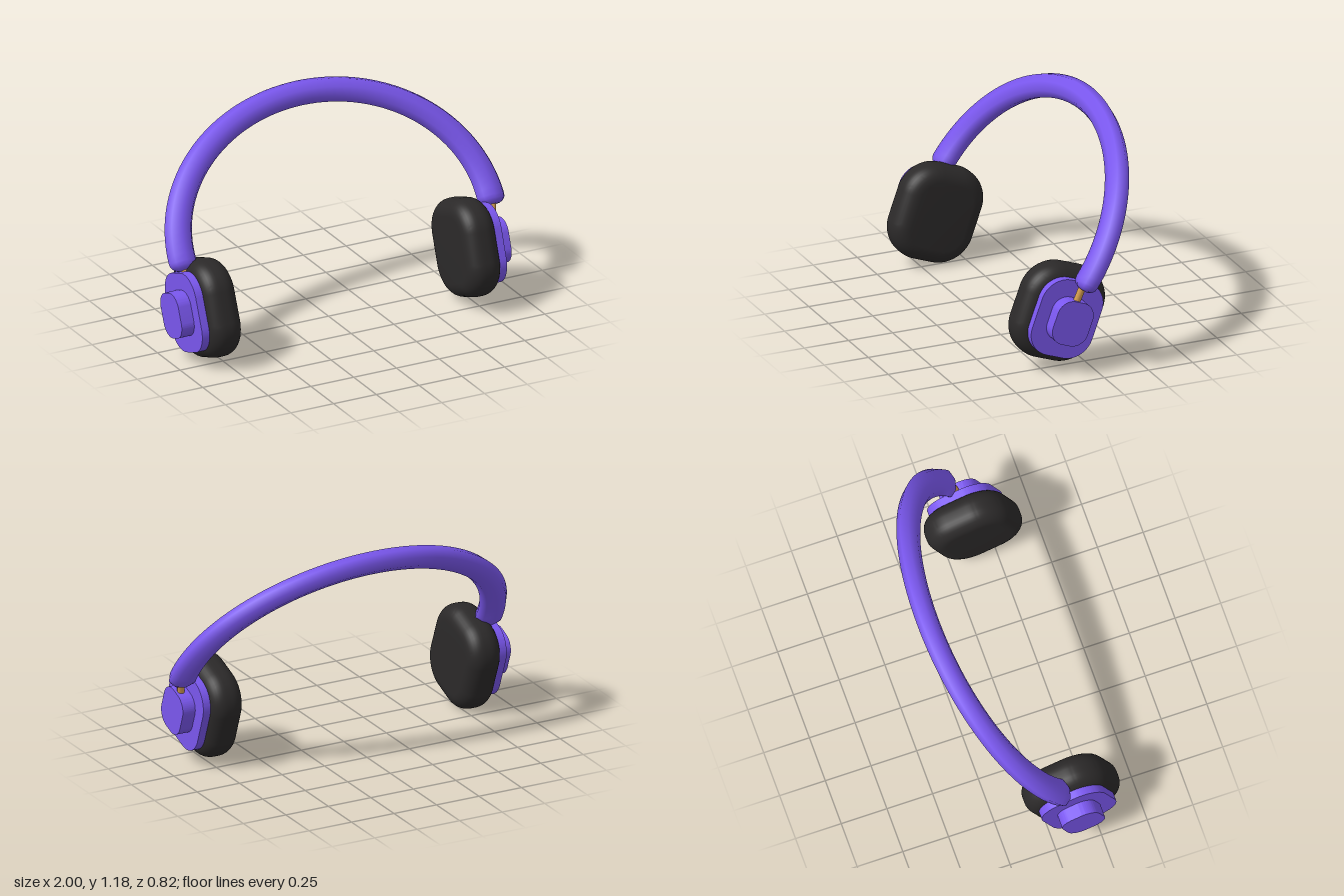
import * as THREE from 'three';
import { toCreasedNormals } from 'three/addons/utils/BufferGeometryUtils.js';

const purple = new THREE.MeshStandardMaterial({ color: 0x7a57ee });
const black = new THREE.MeshStandardMaterial({ color: 0x2b2929 });
const gold = new THREE.MeshStandardMaterial({ color: 0xd9a050 });

function mesh(name, geometry, material) {
  const m = new THREE.Mesh(geometry, material);
  m.name = name;
  return m;
}

// Rounded-rectangle slab facing x, leaning back, centred on its own origin.
// w, h are half sizes, r the corner radius, bevel the rounding of its rim.
function slab(w, h, r, thickness, bevel = 0) {
  w -= bevel; h -= bevel; r -= bevel;
  const s = new THREE.Shape();
  s.absarc(w - r, h - r, r, 0, Math.PI / 2);
  s.absarc(r - w, h - r, r, Math.PI / 2, Math.PI);
  s.absarc(r - w, r - h, r, Math.PI, Math.PI * 1.5);
  s.absarc(w - r, r - h, r, Math.PI * 1.5, Math.PI * 2);
  s.closePath();
  const g = new THREE.ExtrudeGeometry(s, {
    depth: thickness - 2 * bevel, curveSegments: 12,
    bevelEnabled: bevel > 0, bevelThickness: bevel, bevelSize: bevel, bevelSegments: 8,
  });
  g.translate(0, 0, bevel - thickness / 2).rotateZ(-0.35).rotateY(Math.PI / 2);
  return toCreasedNormals(g, 0.7);
}

// Arched band: oval eight-sided section swept along a half ellipse, domed ends.
function bandGeometry() {
  const a = 0.9, b = 0.733, baseY = 0.4, dome = 0.048, steps = 64, sides = 8;
  const rings = [];
  const addRing = (phi, drop, scale) => rings.push({ phi, drop, scale });
  const caps = [0, 0.25, 0.5, 0.75, 1].map((t) => t * Math.PI / 2);
  for (const t of caps.slice(1).reverse()) addRing(0, dome * Math.sin(t), Math.cos(t) ** 0.7);
  for (let i = 0; i <= steps; i++) addRing(Math.PI * i / steps, 0, 1);
  for (const t of caps.slice(1)) addRing(Math.PI, dome * Math.sin(t), Math.cos(t) ** 0.7);

  const pos = [], index = [];
  rings.forEach(({ phi, drop, scale }, i) => {
    const out = new THREE.Vector2(b * Math.cos(phi), a * Math.sin(phi)).normalize();
    const radial = (0.08 - 0.014 * Math.sin(phi)) * scale;
    for (let j = 0; j < sides; j++) {
      const t = (j / sides) * Math.PI * 2, k = radial * Math.cos(t);
      pos.push(a * Math.cos(phi) + out.x * k,
        baseY + b * Math.sin(phi) - drop + out.y * k,
        0.057 * scale * Math.sin(t));
      if (i === rings.length - 1) continue;
      const p = i * sides + j, q = i * sides + (j + 1) % sides;
      index.push(p, p + sides, q, q, p + sides, q + sides);
    }
  });
  const g = new THREE.BufferGeometry();
  g.setAttribute('position', new THREE.Float32BufferAttribute(pos, 3));
  g.setIndex(index);
  g.computeVertexNormals();
  return g;
}

// Thin rod between two points.
function rod(from, to, radius) {
  const path = new THREE.LineCurve3(new THREE.Vector3(...from), new THREE.Vector3(...to));
  return new THREE.TubeGeometry(path, 1, radius, 12);
}

// Ear cup: soft pad, then plate and button stacked outward.
function earCup(name, side) {
  const cup = new THREE.Group();
  cup.name = name;
  const pad = mesh('earPad', slab(0.235, 0.26, 0.18, 0.19, 0.08), black);
  const plate = mesh('cupPlate', slab(0.18, 0.21, 0.13, 0.05), purple);
  const button = mesh('cupButton', slab(0.105, 0.12, 0.08, 0.08), purple);
  plate.position.x = side * 0.108;
  button.position.x = side * 0.166;
  cup.add(pad, plate, button);
  return cup;
}

export function createModel() {
  const model = new THREE.Group();
  model.name = 'headphones';

  // Headband leaning backward
  const band = mesh('headband', bandGeometry(), purple);
  band.rotation.x = -0.59;
  band.position.set(0.015, 0.19, 0.283);
  model.add(band);

  // Cups hang slightly unevenly
  const left = earCup('leftEarCup', 1);
  left.position.set(0.725, 0.308, 0.147);
  const right = earCup('rightEarCup', -1);
  right.position.set(-0.795, 0.283, 0.152);
  right.rotation.z = 0.025;
  model.add(left, right);

  // Stems joining band and cups
  model.add(
    mesh('leftStem', rod([0.917, 0.52, 0.078], [0.895, 0.4, 0.117], 0.019), gold),
    mesh('rightStem', rod([-0.885, 0.52, 0.078], [-0.885, 0.4, 0.117], 0.019), gold),
  );
  return model;
}
